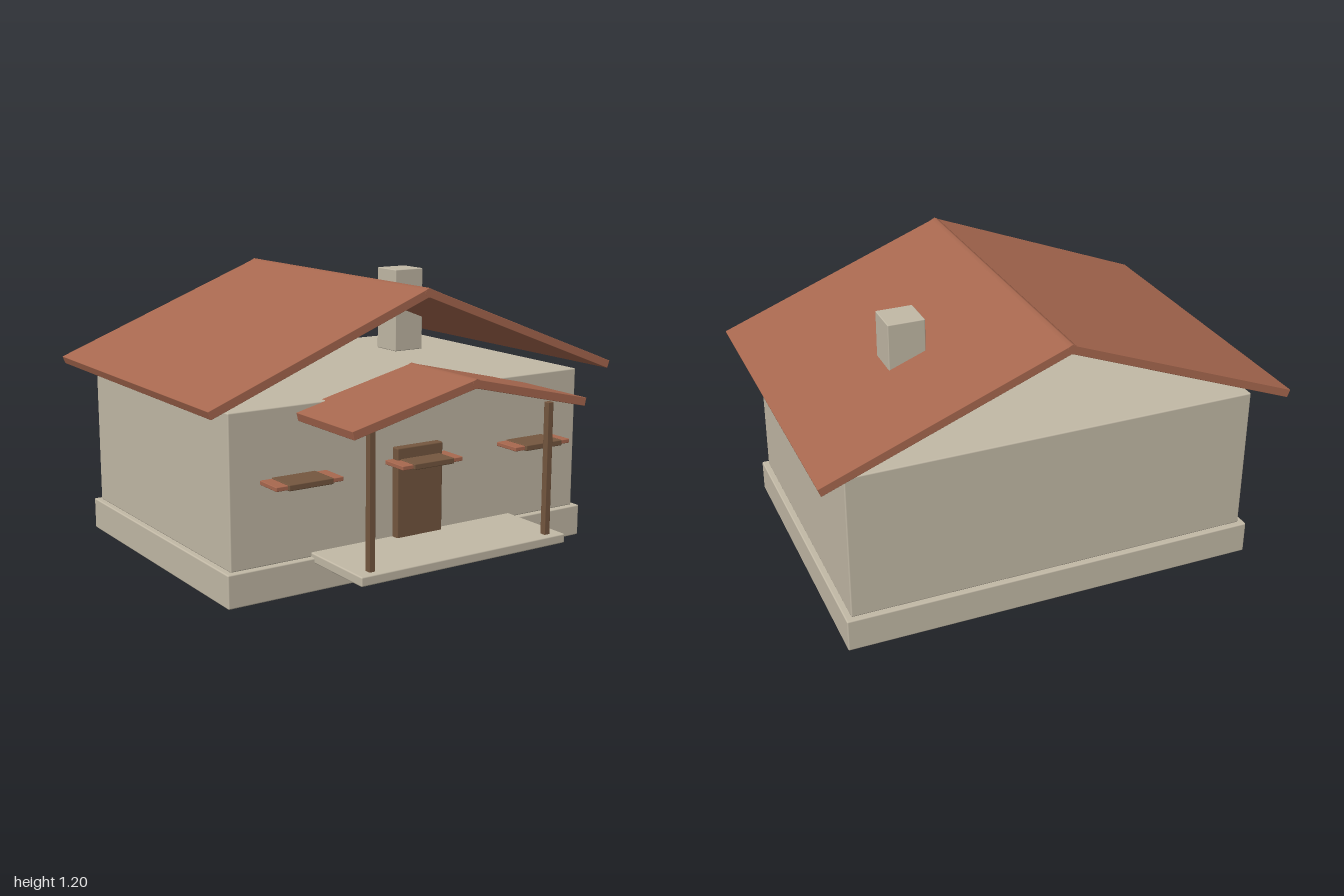
import * as THREE from 'three';
import { RoundedBoxGeometry } from 'three/addons/geometries/RoundedBoxGeometry.js';

function material(name, color) {
  const m = new THREE.MeshStandardMaterial({ color });
  m.name = name;
  return m;
}

export function createModel() {
  const house = new THREE.Group();
  house.name = 'house';
  const plaster = material('plaster', 0xc2b9a6);
  const tile = material('roofTile', 0xa8684f);
  const wood = material('darkWood', 0x75573f);

  // Softly bevelled box given by its limits on each axis
  function block(name, mat, [x0, x1], [y0, y1], [z0, z1], bevel = 0.006) {
    const geo = new RoundedBoxGeometry(x1 - x0, y1 - y0, z1 - z0, 2, bevel);
    const mesh = new THREE.Mesh(geo, mat);
    mesh.position.set((x0 + x1) / 2, (y0 + y1) / 2, (z0 + z1) / 2);
    mesh.name = name;
    house.add(mesh);
    return mesh;
  }

  // Two sloping slabs and a ridge cap
  function gableRoof(name, ridgeY, length, angle, z0, z1) {
    const roof = new THREE.Group();
    roof.name = name;
    const depth = z1 - z0, thick = 0.035;
    for (const side of [1, -1]) {
      const slab = new THREE.Mesh(new RoundedBoxGeometry(length, thick, depth, 1, 0.002), tile);
      slab.rotation.z = -side * angle;
      slab.position.set(side * Math.cos(angle) * length / 2, ridgeY - Math.sin(angle) * length / 2, 0);
      slab.name = side > 0 ? 'leftSlope' : 'rightSlope';
      roof.add(slab);
    }
    const cap = new THREE.Mesh(new THREE.CylinderGeometry(0.02, 0.02, depth + 0.002, 8), tile);
    cap.rotation.x = Math.PI / 2;
    cap.position.y = ridgeY;
    cap.name = 'ridgeCap';
    roof.add(cap);
    roof.position.z = (z0 + z1) / 2;
    house.add(roof);
  }

  // Body
  block('foundation', plaster, [-0.9, 0.9], [0, 0.14], [-0.81, 0.5]);
  block('walls', plaster, [-0.875, 0.875], [0.138, 0.77], [-0.785, 0.475]);
  gableRoof('mainRoof', 1.175, 1.066, 0.371, -0.876, 0.559);
  block('chimney', plaster, [0.405, 0.56], [0.785, 1.17], [-0.405, -0.255], 0.004);

  // Porch
  block('porchFloor', plaster, [-0.51, 0.51], [0.118, 0.158], [0.44, 0.84]);
  gableRoof('porchRoof', 0.855, 0.585, 0.232, 0.44, 0.874);
  for (const side of [1, -1]) {
    const x = side * 0.44;
    block('porchPost', wood, [x - 0.014, x + 0.014], [0.15, 0.722], [0.781, 0.809], 0.003);
  }

  // Door
  block('door', wood, [-0.115, 0.115], [0.08, 0.54], [0.45, 0.51]);

  // Flat ledges with dark inset panels
  for (const x of [-0.587, 0, 0.587]) {
    block('ledge', tile, [x - 0.152, x + 0.152], [0.471, 0.489], [0.42, 0.6], 0.003);
    block('ledgePanel', wood, [x - 0.1, x + 0.1], [0.468, 0.493], [0.42, 0.61], 0.004);
  }

  return house;
}
